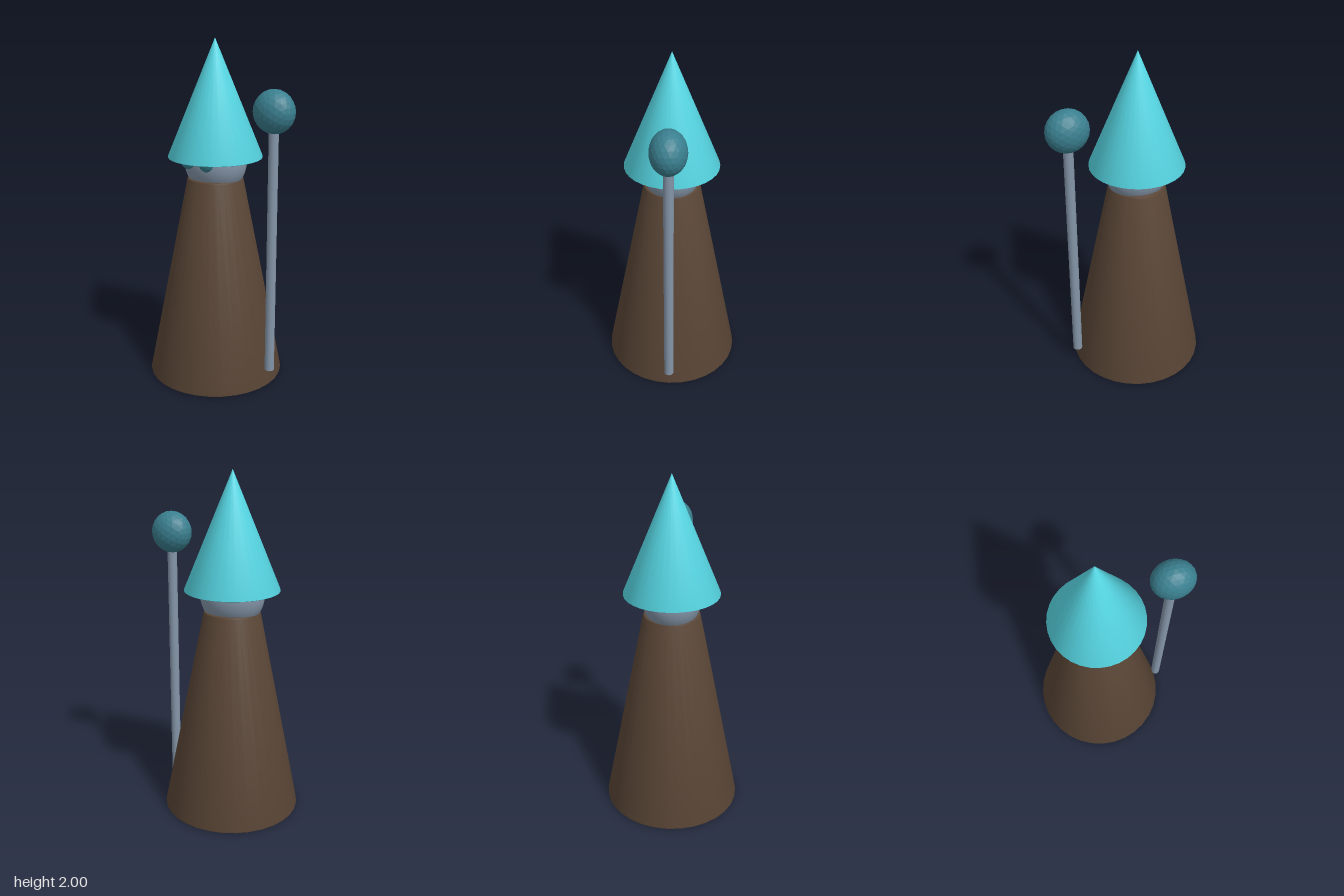
import * as THREE from 'three';
import { toCreasedNormals } from 'three/addons/utils/BufferGeometryUtils.js';

const CX = -0.067; // axis of the body
const STAFF_X = 0.34;

const paint = (color, flatShading = false) => {
  const material = new THREE.MeshStandardMaterial({ flatShading });
  material.color.set(color);
  return material;
};

export function createModel() {
  const group = new THREE.Group();
  const brown = paint(0x5a4636), cyan = paint(0x58dbe8), slate = paint(0x8495a8);
  const teal = paint(0x3a7f8f), tealFacets = paint(0x3a7f8f, true);

  function add(name, geometry, material, x, y, z = 0, scale = [1, 1, 1]) {
    const mesh = new THREE.Mesh(geometry, material);
    mesh.name = name;
    mesh.position.set(x, y, z);
    mesh.scale.set(...scale);
    group.add(mesh);
    return mesh;
  }

  // Turned solid from [radius, height] points, bottom to top
  const turned = (points, sides = 32) => toCreasedNormals(
    new THREE.LatheGeometry(points.map(([r, y]) => new THREE.Vector2(r, y)), sides), 0.6);

  // Robe and hat, both with slightly softened rims
  add('robe', turned([[0, 0], [0.393, 0], [0.4, 0.004], [0.401, 0.014], [0.164, 1.2], [0.161, 1.208], [0.155, 1.211], [0, 1.211]]), brown, CX, 0);
  add('hat', turned([[0, 0], [0.267, 0], [0.273, 0.003], [0.273, 0.01], [0, 0.672]]), cyan, CX, 1.328);

  // Head and eyes
  const ball = new THREE.SphereGeometry(1, 32, 20);
  add('head', ball, slate, CX, 1.305, 0, [0.19, 0.19, 0.167]);
  for (const side of [-1, 1]) {
    add(side > 0 ? 'leftEye' : 'rightEye', ball, teal, CX + side * 0.067, 1.33, 0.166, [0.052, 0.053, 0.024]);
  }

  // Staff with a faceted orb
  add('staff', new THREE.CylinderGeometry(0.028, 0.028, 1.45, 16), slate, STAFF_X, 0.83);
  add('orb', new THREE.IcosahedronGeometry(1, 3), tealFacets, STAFF_X, 1.627, 0, [0.122, 0.121, 0.1]);

  return group;
}
